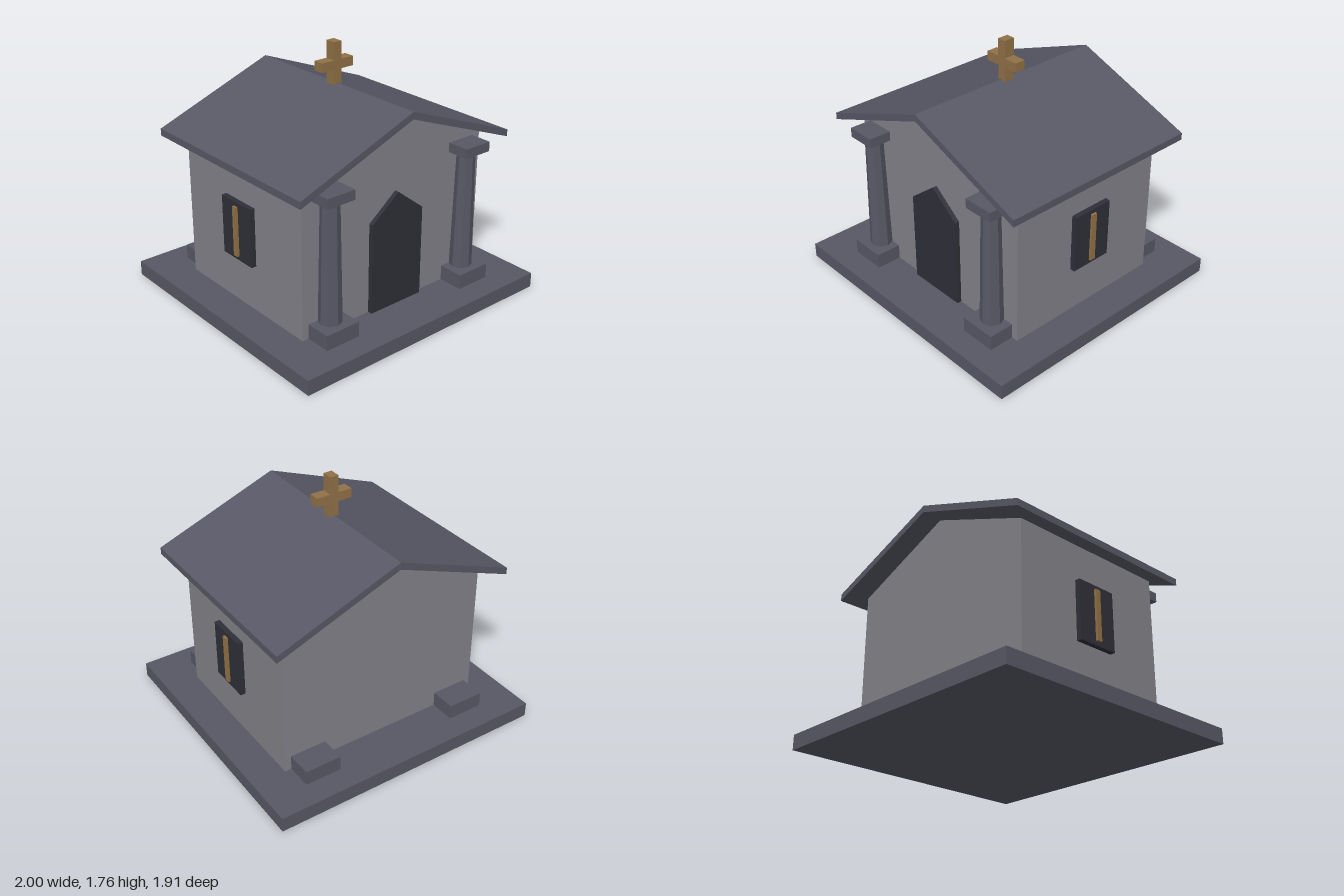
import * as THREE from 'three';

function material(name, color) {
  const m = new THREE.MeshStandardMaterial({ color });
  m.name = name;
  return m;
}

export function createModel() {
  const model = new THREE.Group();
  model.name = 'chapel';
  const wallStone = material('wallStone', 0x828289);
  const darkStone = material('darkStone', 0x585866);
  const opening = material('opening', 0x2f2f38);
  const gold = material('gold', 0x917146);

  function add(name, geometry, mat, x = 0, y = 0, z = 0) {
    const mesh = new THREE.Mesh(geometry, mat);
    mesh.name = name;
    mesh.position.set(x, y, z);
    model.add(mesh);
    return mesh;
  }
  // Box standing on height y
  function box(name, mat, w, h, d, x, y, z) {
    return add(name, new THREE.BoxGeometry(w, h, d), mat, x, y + h / 2, z);
  }
  // Front outline extruded from z0 to z1
  function prism(name, mat, points, z0, z1) {
    const shape = new THREE.Shape(points.map(([x, y]) => new THREE.Vector2(x, y)));
    const geometry = new THREE.ExtrudeGeometry(shape, { depth: z1 - z0, bevelEnabled: false });
    return add(name, geometry, mat, 0, 0, z0);
  }

  // Base slab, gabled walls, pointed door and folded roof
  box('baseSlab', darkStone, 2, 0.105, 1.91, 0, 0, 0);
  prism('walls', wallStone,
    [[-0.762, 0.1], [0.762, 0.1], [0.762, 1.127], [0, 1.435], [-0.762, 1.127]], -0.605, 0.605);
  prism('door', opening,
    [[-0.217, 0.105], [0.217, 0.105], [0.217, 0.745], [0, 0.915], [-0.217, 0.745]], 0.59, 0.637);
  prism('roof', darkStone,
    [[-0.88, 1.103], [0, 1.437], [0.88, 1.103], [0.88, 1.152], [0, 1.487], [-0.88, 1.152]], -0.75, 0.75);

  for (const side of [-1, 1]) {
    const x = side * 0.585;
    // Pedestals at all four corners, columns at the front only
    for (const z of [-0.655, 0.655]) box('pedestal', darkStone, 0.26, 0.11, 0.26, x, 0.1, z);
    const shaft = new THREE.CylinderGeometry(0.062, 0.078, 0.84, 8);
    const columnMaterial = darkStone;
    add('column', shaft.toNonIndexed(), columnMaterial, x, 0.63, 0.66).geometry.computeVertexNormals();
    box('capital', darkStone, 0.215, 0.067, 0.215, x, 1.05, 0.657);
    // Side window with its upright bar
    box('window', opening, 0.036, 0.41, 0.304, side * 0.794, 0.45, 0);
    box('windowBar', gold, 0.036, 0.35, 0.04, side * 0.81, 0.48, 0);
  }

  // Roof cross
  box('crossUpright', gold, 0.062, 0.29, 0.078, 0, 1.475, 0);
  box('crossArm', gold, 0.264, 0.064, 0.0785, 0, 1.58, 0);

  return model;
}
